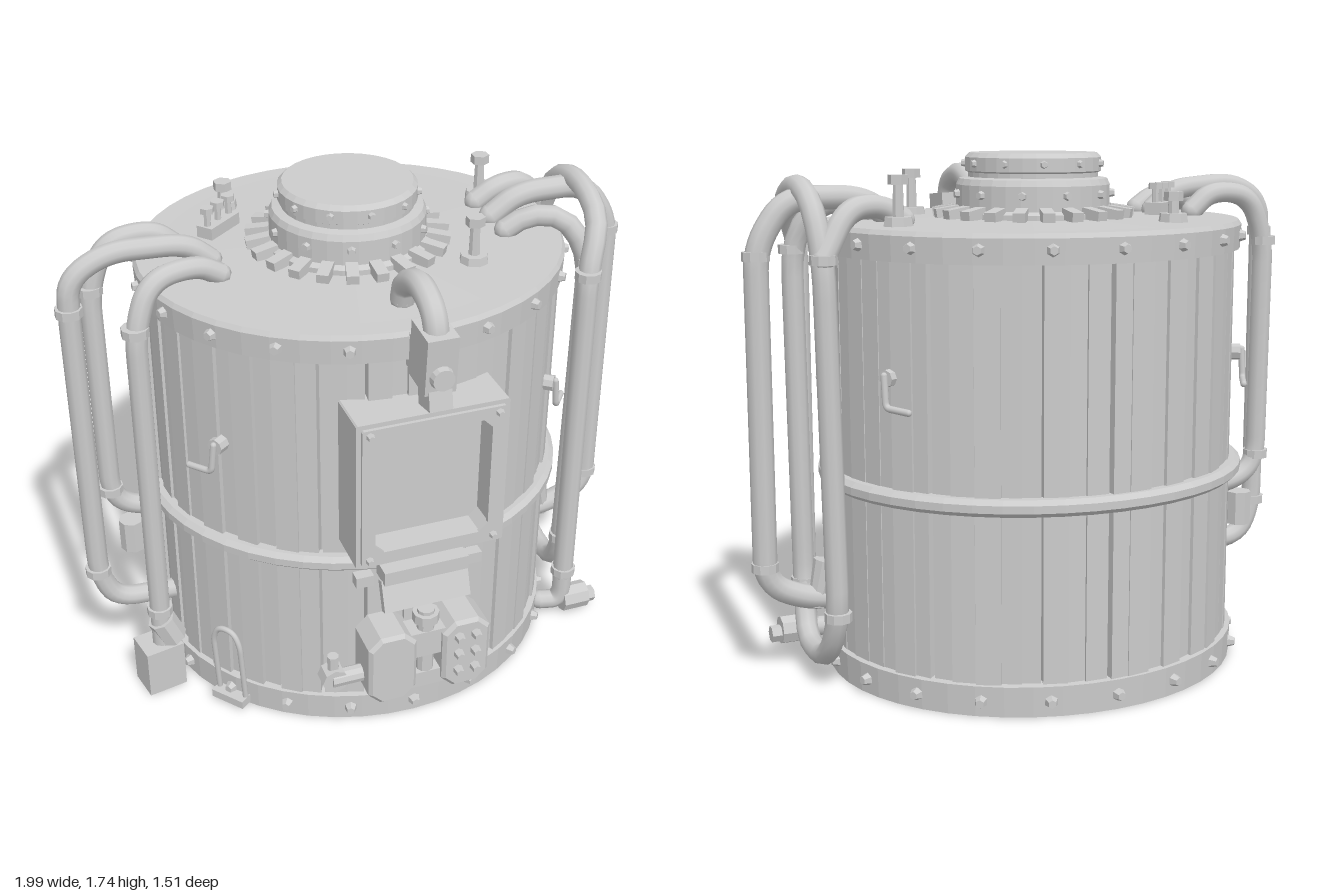
import * as THREE from 'three';

const RX = 0.705, RZ = 0.65, CZ = -0.085; // oval drum

export function createModel() {
  const model = new THREE.Group();
  const mat = new THREE.MeshStandardMaterial({ color: 0xcccccc, side: THREE.DoubleSide });
  const flat = new THREE.MeshStandardMaterial({ color: 0xcccccc, flatShading: true, side: THREE.DoubleSide });

  const add = (name, geo, pos = [0, 0, 0], rot = [0, 0, 0], parent = model, m = flat) => {
    const mesh = new THREE.Mesh(geo, m);
    mesh.name = name;
    mesh.position.set(...pos);
    mesh.rotation.set(...rot);
    parent.add(mesh);
    return mesh;
  };
  const group = (name, parent = model) => {
    const g = new THREE.Group();
    g.name = name;
    parent.add(g);
    return g;
  };
  const box = (name, size, pos, rot, parent) => add(name, new THREE.BoxGeometry(...size), pos, rot, parent);
  const cyl = (name, r1, r2, h, pos, rot, parent, n = 10) =>
    add(name, new THREE.CylinderGeometry(r1, r2, h, n), pos, rot, parent);
  // point on the drum wall; angle 0 faces the front
  const wall = (a, y, out = 0) => [(RX + out) * Math.sin(a), y, CZ + (RZ + out) * Math.cos(a)];
  // group whose +z points straight out of the wall
  const onWall = (name, a, y, out = 0, parent = model) => {
    const g = group(name, parent);
    g.position.set(...wall(a, y, out));
    g.rotation.y = Math.atan2(Math.sin(a) / RX, Math.cos(a) / RZ);
    return g;
  };
  // straight pipe runs joined by rounded corners
  const pipe = (name, pts, r, bend = 0.08, parent = model, closed = false) => {
    const p = pts.map((q) => new THREE.Vector3(...q));
    const path = new THREE.CurvePath();
    let last = p[0];
    for (let i = 1; i < p.length - 1; i++) {
      const back = p[i - 1].clone().sub(p[i]), next = p[i + 1].clone().sub(p[i]);
      const a = p[i].clone().addScaledVector(back.clone().normalize(), Math.min(bend, back.length() * 0.48));
      const b = p[i].clone().addScaledVector(next.clone().normalize(), Math.min(bend, next.length() * 0.48));
      path.add(new THREE.LineCurve3(last, a));
      path.add(new THREE.QuadraticBezierCurve3(a, p[i], b));
      last = b;
    }
    path.add(new THREE.LineCurve3(last, p[p.length - 1]));
    add(name, new THREE.TubeGeometry(path, 90, r, 10, closed), undefined, undefined, parent, mat);
    for (const end of [p[0], p[p.length - 1]]) add(name + 'Cap', new THREE.SphereGeometry(r, 8, 6), end.toArray(), undefined, parent, mat);
  };
  const clamp = (x, y, z, r = 0.045) => cyl('pipeClamp', r, r, 0.03, [x, y, z]);

  // Wooden staves of slightly uneven width and depth
  let seed = 7;
  const rand = () => (seed = (seed * 16807) % 2147483647) / 2147483647;
  const staves = group('staves');
  const count = 60;
  for (let i = 0; i < count; i++) {
    const s = onWall('staveMount', ((i + rand() * 0.3) / count) * Math.PI * 2, 0.76, -0.045 + rand() * 0.018, staves);
    box('stave', [0.074 + rand() * 0.008, 1.46, 0.06], [0, 0, 0], [0, (rand() - 0.5) * 0.12, 0], s);
  }

  // Inner core closes the gaps, with the lid and the floor
  const oval = (name, profile, m = flat) => {
    const mesh = add(name, new THREE.LatheGeometry(profile.map((q) => new THREE.Vector2(...q)), 48), [0, 0, CZ], undefined, model, m);
    mesh.scale.set(RX, 1, RZ);
  };
  oval('core', [[0, 0.01], [0.92, 0.01], [0.92, 1.5], [0, 1.5]]);
  oval('floor', [[0, 0.004], [1, 0.004]]);
  oval('lid', [[1.01, 1.515], [0.9, 1.515], [0, 1.53]]);
  oval('topRim', [[0.95, 1.42], [1.02, 1.42], [1.025, 1.5], [1.01, 1.515], [0.95, 1.515]]);
  oval('bottomRim', [[0.95, 0], [1.015, 0], [1.02, 0.1], [0.95, 0.105]]);
  oval('middleHoop', [[0.97, 0.65], [1.025, 0.65], [1.05, 0.665], [1.05, 0.69], [1.025, 0.705], [0.97, 0.705]]);

  // Rim bolts
  for (const y of [0.05, 1.465])
    for (let i = 0; i < 20; i++) {
      const b = onWall('rimBolt', (i / 20) * Math.PI * 2, y, 0.02, group('bolts'));
      cyl('boltHead', 0.014, 0.024, 0.03, [0, 0, 0], [Math.PI / 2, 0, 0], b, 6);
    }

  // Central hatch with ring of clamps
  const hatch = group('hatch');
  hatch.position.set(-0.01, 0, -0.08);
  const hatchProfile = [[0.28, 1.515], [0.28, 1.54], [0.26, 1.55], [0.26, 1.63], [0.25, 1.65], [0.22, 1.655],
    [0.22, 1.67], [0.23, 1.675], [0.23, 1.72], [0.215, 1.735], [0, 1.735]];
  add('hatchBody', new THREE.LatheGeometry(hatchProfile.map((q) => new THREE.Vector2(...q)), 32), undefined, undefined, hatch);
  for (let i = 0; i < 22; i++) {
    const a = (i / 22) * Math.PI * 2, c = group('hatchClamp', hatch);
    c.rotation.y = a;
    box('clampFoot', [0.04, 0.035, 0.08], [0, 1.54, 0.3], [0.15, 0, 0], c);
    if (i % 2) cyl('clampStud', 0.012, 0.016, 0.02, [0, 1.6, 0.265], [Math.PI / 2, 0, 0], c, 6);
    else cyl('capStud', 0.01, 0.014, 0.016, [0, 1.7, 0.235], [Math.PI / 2, 0, 0], c, 6);
  }

  // Square window box on the front
  const rect = (P, w, h, c) => {
    const p = new P();
    p.moveTo(-w + c, -h); p.lineTo(w - c, -h); p.lineTo(w, -h + c); p.lineTo(w, h - c);
    p.lineTo(w - c, h); p.lineTo(-w + c, h); p.lineTo(-w, h - c); p.lineTo(-w, -h + c);
    p.closePath();
    return p;
  };
  const win = group('window');
  win.position.set(0, 1.02, 0);
  const extrude = (name, w, h, hw, hh, depth, z) => {
    const s = rect(THREE.Shape, w, h, 0.005);
    s.holes.push(rect(THREE.Path, hw, hh, 0.03));
    add(name, new THREE.ExtrudeGeometry(s, { depth, bevelEnabled: false }), [0, 0, z], undefined, win);
  };
  extrude('windowBox', 0.25, 0.265, 0.2, 0.22, 0.2, 0.48);
  extrude('windowFrame', 0.235, 0.25, 0.19, 0.21, 0.012, 0.68);
  box('windowPane', [0.42, 0.46, 0.02], [0, 0, 0.575], undefined, win);
  for (const x of [-0.21, 0.21]) for (const y of [-0.23, 0.23])
    cyl('windowBolt', 0.01, 0.014, 0.02, [x, y, 0.7], [Math.PI / 2, 0, 0], win, 6);

  // Lamp arm reaching over the rim above the window
  const lamp = group('lampArm');
  pipe('arm', [[0, 1.53, 0.4], [0, 1.6, 0.42], [0, 1.655, 0.54], [0, 1.61, 0.66], [0, 1.5, 0.68]], 0.04, 0.06, lamp);
  box('lampHousing', [0.1, 0.19, 0.13], [0, 1.47, 0.66], [0.08, 0, 0], lamp);
  cyl('lampDisc', 0.035, 0.04, 0.03, [0, 1.43, 0.73], [Math.PI / 2, 0, 0], lamp, 14);
  box('lampFoot', [0.075, 0.07, 0.09], [0, 1.345, 0.68], [-0.2, 0, 0], lamp);
  box('lampMount', [0.09, 0.12, 0.1], [0, 1.45, 0.58], undefined, lamp);

  // Pump below the window
  const pump = group('pump');
  box('pumpHood', [0.3, 0.11, 0.03], [0, 0.595, 0.645], [-0.35, 0, 0], pump);
  box('hoodTop', [0.29, 0.05, 0.08], [0, 0.67, 0.62], undefined, pump);
  for (const s of [-1, 1]) box('hoodHinge', [0.06, 0.04, 0.04], [s * 0.19, 0.63, 0.58], undefined, pump);
  const tank = rect(THREE.Shape, 0.072, 0.125, 0.035);
  for (const s of [-1, 1])
    add('pumpTank', new THREE.ExtrudeGeometry(tank, { depth: 0.13, bevelSize: 0.012, bevelThickness: 0.012, bevelSegments: 1 }),
      [s * 0.13, 0.33, 0.57], undefined, pump);
  cyl('pumpStem', 0.03, 0.03, 0.3, [0, 0.37, 0.66], undefined, pump);
  cyl('pumpCollar', 0.045, 0.045, 0.035, [0, 0.49, 0.66], undefined, pump);
  box('pumpBridge', [0.14, 0.1, 0.08], [0, 0.39, 0.65], undefined, pump);
  box('pumpBase', [0.15, 0.06, 0.08], [0, 0.24, 0.65], undefined, pump);
  for (const y of [0.27, 0.34, 0.41]) for (const x of [0.1, 0.16])
    cyl('pumpBolt', 0.014, 0.018, 0.03, [x, y, 0.725], [Math.PI / 2, 0, 0], pump, 6);
  cyl('pumpInlet', 0.03, 0.03, 0.14, [-0.25, 0.28, 0.63], [0, 0, Math.PI / 2], pump);
  cyl('inletValve', 0.045, 0.045, 0.06, [-0.31, 0.28, 0.62], [Math.PI / 2, 0, 0], pump, 8);
  cyl('inletKnob', 0.02, 0.02, 0.08, [-0.31, 0.33, 0.62], undefined, pump, 8);

  // Pipework on the left side
  pipe('leftOuterPipe', [[0.5, 1.53, -0.07], [0.6, 1.6, -0.07], [0.85, 1.6, -0.07], [0.95, 1.45, -0.07],
    [0.95, 0.34, -0.06], [0.8, 0.27, -0.06], [0.64, 0.27, -0.06]], 0.04);
  pipe('leftArchPipe', [[0.72, 0.18, 0.26], [0.72, 1.44, 0.25], [0.79, 1.58, 0.17], [0.8, 1.65, -0.02], [0.8, 1.6, -0.19],
    [0.79, 1.42, -0.27], [0.77, 0.25, -0.27], [0.78, 0.09, -0.17], [0.78, 0.08, 0.06], [0.76, 0.25, 0.15],
    [0.77, 1.44, 0.15], [0.7, 1.57, 0.1], [0.58, 1.58, 0.06], [0.5, 1.53, 0.05]], 0.037, 0.1);
  pipe('leftRearFeed', [[0.5, 1.53, -0.2], [0.58, 1.58, -0.2], [0.7, 1.57, -0.23], [0.79, 1.42, -0.27]], 0.038);
  [[0.95, 1.42, -0.07], [0.95, 0.4, -0.06], [0.72, 1.42, 0.25], [0.79, 1.42, -0.27], [0.77, 1.42, 0.15],
    [0.76, 0.27, 0.15], [0.77, 0.27, -0.27], [0.72, 0.2, 0.26]].forEach((p) => clamp(...p));
  cyl('leftElbow', 0.045, 0.03, 0.16, [0.76, 0.32, -0.06], [0, 0, 0.25]);
  cyl('leftDrain', 0.05, 0.05, 0.1, [0.77, 0.06, 0.26], [0, 0, Math.PI / 2], model, 8);
  cyl('leftDrainKnob', 0.03, 0.03, 0.05, [0.83, 0.05, 0.26], [0, 0, Math.PI / 2], model, 6);
  pipe('leftDrainPipe', [[0.72, 0.2, 0.26], [0.72, 0.06, 0.26], [0.64, 0.06, 0.24]], 0.035);

  // Pipework on the right side
  pipe('rightOuterPipe', [[-0.48, 1.53, -0.06], [-0.56, 1.6, -0.06], [-0.82, 1.62, -0.04], [-0.95, 1.55, -0.03],
    [-0.955, 1.42, -0.03], [-0.955, 0.4, -0.03], [-0.9, 0.28, -0.03], [-0.64, 0.27, -0.03]], 0.036);
  pipe('rightRearPipe', [[-0.56, 1.53, -0.2], [-0.64, 1.6, -0.2], [-0.8, 1.58, -0.2], [-0.86, 1.42, -0.2],
    [-0.86, 0.62, -0.19], [-0.79, 0.55, -0.19], [-0.62, 0.53, -0.19]], 0.036);
  pipe('rightFrontPipe', [[-0.48, 1.53, 0.05], [-0.56, 1.58, 0.06], [-0.72, 1.57, 0.1], [-0.78, 1.42, 0.13],
    [-0.78, 0.18, 0.13]], 0.036);
  [[-0.955, 1.44, -0.03], [-0.955, 0.42, -0.03], [-0.86, 1.42, -0.2], [-0.86, 0.64, -0.19],
    [-0.78, 1.42, 0.13], [-0.78, 0.32, 0.13]].forEach((p) => clamp(...p));
  box('rightDrainBox', [0.14, 0.18, 0.12], [-0.795, 0.09, 0.13], [0, 0.2, 0]);
  cyl('rightDrainValve', 0.05, 0.05, 0.1, [-0.76, 0.23, 0.13], [0, 0, 0.4], model, 8);
  cyl('rightRearValve', 0.045, 0.045, 0.12, [-0.8, 0.44, -0.18], undefined, model, 8);

  // Wire handle low on the front right
  const handle = onWall('wireHandle', -0.93, 0, 0.02);
  pipe('handleLoop', [[-0.055, 0.03, 0], [-0.055, 0.28, 0.02], [-0.03, 0.33, 0.02], [0.03, 0.33, 0.02],
    [0.055, 0.28, 0.02], [0.055, 0.03, 0]], 0.01, 0.03, handle);
  box('handleFoot', [0.13, 0.03, 0.05], [0, 0.025, 0.01], undefined, handle);

  // Small cranked taps around the wall
  for (const a of [0.95, -0.95, 2.06, -2.06]) {
    const tap = onWall('tap', a, 1.06);
    const s = Math.sign(a);
    cyl('tapBoss', 0.028, 0.028, 0.05, [0, 0, 0], [Math.PI / 2, 0, 0], tap, 8);
    pipe('tapLever', [[0, 0.01, 0.03], [0.01 * s, -0.09, 0.035], [0.1 * s, -0.095, 0.035]], 0.011, 0.02, tap);
  }

  // Fittings on the lid
  for (const [x, z, h] of [[0.32, 0.21, 0.15], [0.54, -0.26, 0.15], [-0.33, -0.47, 0.09]]) {
    const post = group('lidPost');
    post.position.set(x, 1.52, z);
    cyl('postBase', 0.045, 0.05, 0.03, [0, 0.01, 0], undefined, post, 8);
    cyl('postStem', 0.016, 0.02, h, [0, h / 2, 0], undefined, post, 8);
    cyl('postCap', 0.032, 0.032, 0.03, [0, h - 0.01, 0], undefined, post, 6);
  }
  const gauge = group('lidManifold');
  gauge.position.set(-0.4, 1.52, -0.27);
  gauge.rotation.y = 0.7;
  box('manifoldBlock', [0.16, 0.04, 0.06], [0, 0.03, 0], undefined, gauge);
  for (const x of [-0.06, 0, 0.06]) {
    cyl('manifoldStem', 0.012, 0.012, 0.1, [x, 0.06, 0], undefined, gauge, 6);
    cyl('manifoldKnob', 0.024, 0.024, 0.02, [x, 0.105, 0], undefined, gauge, 6);
  }
  return model;
}
